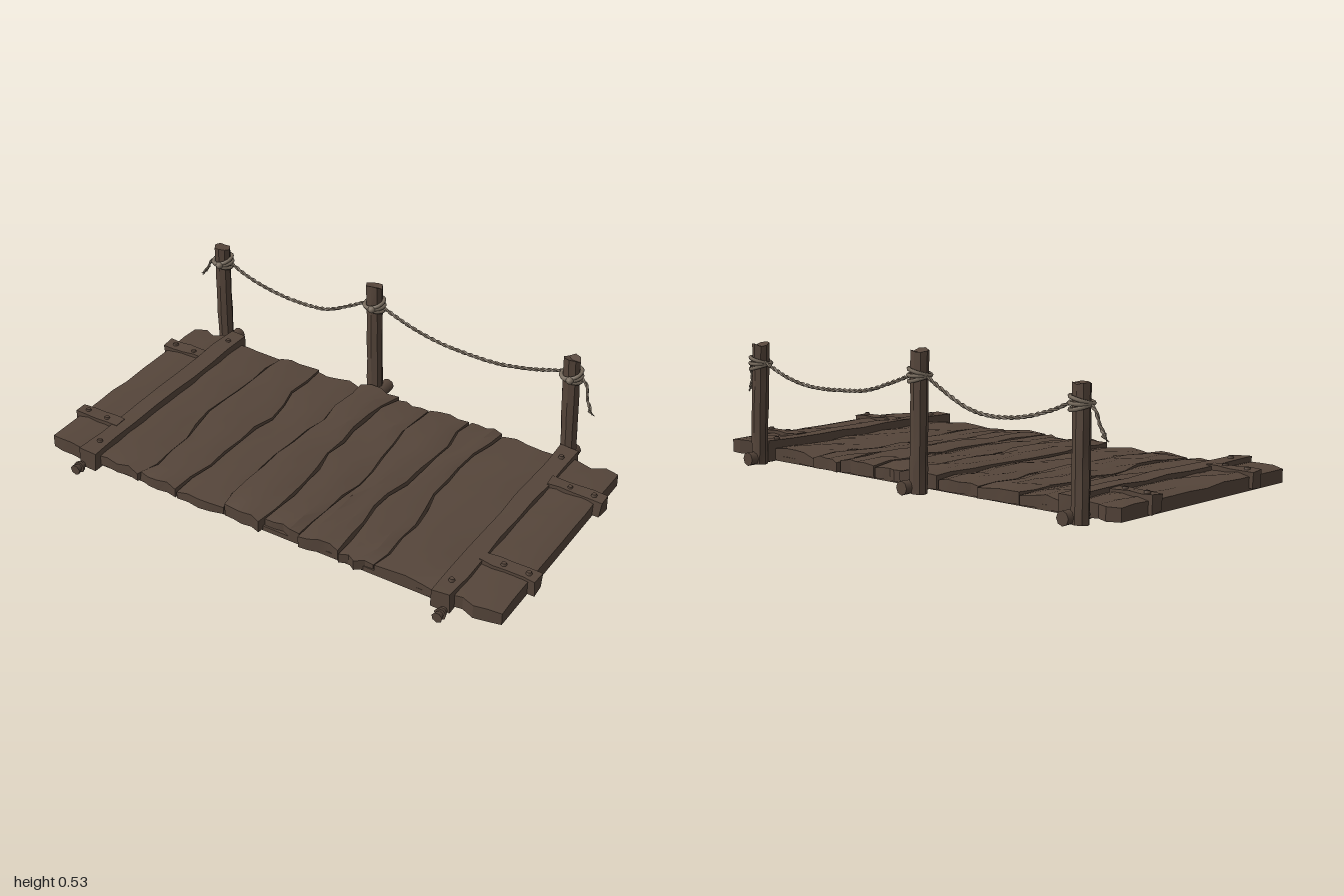
import * as THREE from 'three';
import { toCreasedNormals } from 'three/addons/utils/BufferGeometryUtils.js';

const wood = new THREE.MeshStandardMaterial({ color: 0x55453a });
wood.name = 'weatheredWood';
const rope = new THREE.MeshStandardMaterial({ color: 0x786c5e });
rope.name = 'hempRope';

// Repeatable noise in -1..1 from a position and a seed
function noise(a, b, c, seed) {
  const s = Math.sin(a * 127.1 + b * 311.7 + c * 74.7 + seed * 53.3) * 43758.5453;
  return (s - Math.floor(s)) * 2 - 1;
}

function warp(geometry, rule) {
  const p = geometry.attributes.position;
  const v = new THREE.Vector3();
  for (let i = 0; i < p.count; i++) {
    v.fromBufferAttribute(p, i);
    rule(v);
    p.setXYZ(i, v.x, v.y, v.z);
  }
  return toCreasedNormals(geometry, 0.5);
}

function add(group, name, geometry, material = wood) {
  const mesh = new THREE.Mesh(geometry, material);
  mesh.name = name;
  group.add(mesh);
  return mesh;
}

// Hewn block given by its limits, with slightly uneven corners
function block(group, name, x, y, z, segments, rough, seed) {
  const g = new THREE.BoxGeometry(x[1] - x[0], y[1] - y[0], z[1] - z[0], ...segments);
  g.translate((x[0] + x[1]) / 2, (y[0] + y[1]) / 2, (z[0] + z[1]) / 2);
  return add(group, name, warp(g, (v) => {
    const k = [v.x, v.y, v.z].map((n) => Math.round(n * 500));
    v.x += noise(...k, seed) * rough;
    v.y += noise(...k, seed + 1) * rough;
    v.z += noise(...k, seed + 2) * rough;
  }));
}

// Plank whose long edges wander and whose ends are ragged
function plank(group, x0, x1, z0, z1, top, seed, edge0, edge1) {
  const g = new THREE.BoxGeometry(1, 1, 1, 4, 1, 10);
  return add(group, 'plank', warp(g, (v) => {
    const u = v.x + 0.5, t = v.z + 0.5, up = v.y > 0;
    const i = Math.round(u * 4), j = Math.round(t * 10);
    const a = x0 + edge0(t) + 0.004, b = x1 + edge1(t) - 0.004;
    const end = t < 0.01 ? 1 : t > 0.99 ? -1 : 0;
    v.x = a + (b - a) * u;
    v.z = z0 + (z1 - z0) * t + end * 0.012 * (1 + noise(i, end, 0, seed)) + 0.006 * noise(i, j, 1, seed);
    const rim = (i === 0 || i === 4) ? 0.007 : 0;
    v.y = up ? top - rim - Math.abs(end) * 0.006 + noise(i, j, 2, seed) * 0.006 : 0.026;
  }));
}

function nail(group, x, y, z) {
  add(group, 'nail', new THREE.CylinderGeometry(0.009, 0.013, 0.012, 6)).position.set(x, y, z);
}

// Two strands twisted around a smooth path
function twistedRope(group, name, points) {
  const path = new THREE.CatmullRomCurve3(points.map((p) => new THREE.Vector3(...p)));
  const steps = Math.max(16, Math.round(path.getLength() * 160));
  for (const phase of [0, Math.PI]) {
    const pts = [];
    for (let i = 0; i <= steps; i++) {
      const p = path.getPointAt(i / steps);
      const a = phase + i * 0.7;
      pts.push(p.add(new THREE.Vector3(0, Math.cos(a) * 0.0035, Math.sin(a) * 0.0035)));
    }
    add(group, name, new THREE.TubeGeometry(new THREE.CatmullRomCurve3(pts), steps * 2, 0.0045, 5), rope);
  }
}

// Loose threads at a rope end
function fray(group, x, y, z, side) {
  for (let i = -1; i <= 1; i++) {
    const strand = add(group, 'frayedEnd', new THREE.ConeGeometry(0.005, 0.035, 5), rope);
    strand.position.set(x + side * 0.006 + i * 0.004, y - 0.01, z + i * 0.005);
    strand.rotation.set(i * 0.3, 0, Math.PI + side * 0.7 + i * 0.25);
  }
}

function createModel() {
  const model = new THREE.Group();
  model.name = 'boardwalk';

  // Deck planks sharing wandering seams
  const deck = new THREE.Group();
  deck.name = 'deck';
  model.add(deck);
  const seams = [-0.77, -0.56, -0.36, -0.18, -0.01, 0.16, 0.32, 0.46, 0.72];
  const tops = [0.074, 0.077, 0.073, 0.087, 0.08, 0.083, 0.076, 0.076];
  const backs = [-0.46, -0.475, -0.465, -0.475, -0.455, -0.47, -0.475, -0.465];
  const fronts = [0.495, 0.5, 0.5, 0.505, 0.485, 0.495, 0.495, 0.49];
  const seam = (n) => (t) => (n === 0 || n === 8) ? 0
    : Math.sin(t * 7 + n * 2.1) * 0.014 + noise(Math.round(t * 10), n, 0, 5) * 0.012;
  tops.forEach((top, i) => {
    plank(deck, seams[i], seams[i + 1], backs[i], fronts[i], top, i + 11, seam(i), seam(i + 1));
  });
  const straight = () => 0;
  plank(deck, -0.985, -0.79, -0.465, 0.5, 0.084, 31, straight, straight);
  plank(deck, 0.76, 0.97, -0.46, 0.49, 0.084, 32, straight, straight);

  // Flat underside joining the planks
  block(deck, 'underside', [-0.77, 0.74], [0.02, 0.04], [-0.445, 0.475], [1, 1, 1], 0, 1);

  // Cross beams with nails and front pegs
  for (const [x0, x1, seed] of [[-0.822, -0.75, 41], [0.712, 0.785, 47]]) {
    block(model, 'crossBeam', [x0, x1], [0.02, 0.098], [-0.485, 0.512], [1, 1, 8], 0.004, seed);
    const mid = (x0 + x1) / 2;
    nail(model, mid, 0.1, -0.41);
    nail(model, mid, 0.1, 0.435);
    const px = x0 < 0 ? -0.813 : 0.763;
    const stem = add(model, 'pegStem', new THREE.CylinderGeometry(0.014, 0.014, 0.06, 8));
    stem.rotation.x = Math.PI / 2;
    stem.position.set(px, 0.026, 0.52);
    for (const [z, r] of [[0.53, 0.024], [0.552, 0.021]]) {
      const head = add(model, 'pegHead', new THREE.CylinderGeometry(r, r * 0.8, 0.016, 7));
      head.rotation.x = Math.PI / 2;
      head.position.set(px, 0.026, z);
    }
  }

  // Short cleats over the end planks
  for (const [side, z, seed] of [[-1, -0.275, 51], [-1, 0.295, 54], [1, -0.262, 57], [1, 0.26, 60]]) {
    const x = side < 0 ? [-0.996, -0.8] : [0.775, 0.996];
    block(model, 'cleat', x, [0.032, 0.096], [z - 0.027, z + 0.027], [4, 1, 1], 0.004, seed);
    nail(model, side * 0.955, 0.098, z);
    nail(model, side * 0.86, 0.098, z + 0.004);
  }

  // Posts: bottom x, top x, top height, knot height
  const posts = [[-0.868, -0.868, 0.48, 0.41], [-0.132, -0.14, 0.525, 0.435], [0.732, 0.715, 0.48, 0.405]];
  posts.forEach(([xb, xt, h, knot], n) => {
    const g = new THREE.CylinderGeometry(0.034, 0.034, 1, 8, 6);
    add(model, 'post', warp(g, (v) => {
      const t = v.y + 0.5;
      const a = Math.round(Math.atan2(v.z, v.x) * 4 / Math.PI + 8) % 8;
      const r = 1 + noise(a, Math.round(t * 6), 0, n + 70) * 0.07;
      v.x = xb + (xt - xb) * t + v.x * r;
      v.z = -0.508 - 0.003 * (1 - t) + v.z * r * 0.85;
      v.y = 0.016 + (h - 0.016) * t + (t > 0.99 ? noise(a, 9, 0, n) * 0.008 - 0.004 : 0);
    }));

    // Peg holding the post to the deck
    const peg = add(model, 'postPeg', new THREE.CylinderGeometry(0.024, 0.026, 0.125, 8));
    peg.rotation.x = Math.PI / 2;
    peg.position.set(xb + (n === 2 ? 0.004 : 0.03), 0.038, -0.503);

    // Rope turns around the post
    const xk = xb + (xt - xb) * knot / h;
    for (let i = 0; i < 3; i++) {
      const turn = add(model, 'ropeTurn', new THREE.TorusGeometry(0.04, 0.0075, 6, 20), rope);
      turn.rotation.set(Math.PI / 2 + (i - 1) * 0.18, (i - 1) * 0.22, 0);
      turn.position.set(xk, knot - 0.012 + i * 0.011, -0.508);
    }
    add(model, 'ropeKnot', new THREE.IcosahedronGeometry(0.015, 1), rope)
      .position.set(xk + 0.012, knot, -0.467);
  });

  // Sagging rope spans and hanging ends
  twistedRope(model, 'ropeSpan', [[-0.84, 0.415, -0.51], [-0.75, 0.375, -0.508], [-0.62, 0.338, -0.512],
    [-0.48, 0.326, -0.513], [-0.36, 0.342, -0.506], [-0.25, 0.392, -0.51], [-0.165, 0.44, -0.512]]);
  twistedRope(model, 'ropeSpan', [[-0.11, 0.435, -0.51], [0.0, 0.395, -0.507], [0.12, 0.357, -0.514],
    [0.26, 0.343, -0.514], [0.42, 0.342, -0.518], [0.55, 0.365, -0.52], [0.69, 0.41, -0.512]]);
  twistedRope(model, 'ropeTail', [[-0.89, 0.415, -0.505], [-0.93, 0.39, -0.515], [-0.955, 0.345, -0.522], [-0.978, 0.32, -0.528]]);
  twistedRope(model, 'ropeTail', [[0.745, 0.41, -0.51], [0.785, 0.385, -0.5], [0.8, 0.335, -0.485], [0.82, 0.305, -0.475]]);
  fray(model, -0.978, 0.318, -0.528, -1);
  fray(model, 0.82, 0.302, -0.473, 1);

  return model;
}

export { createModel };
